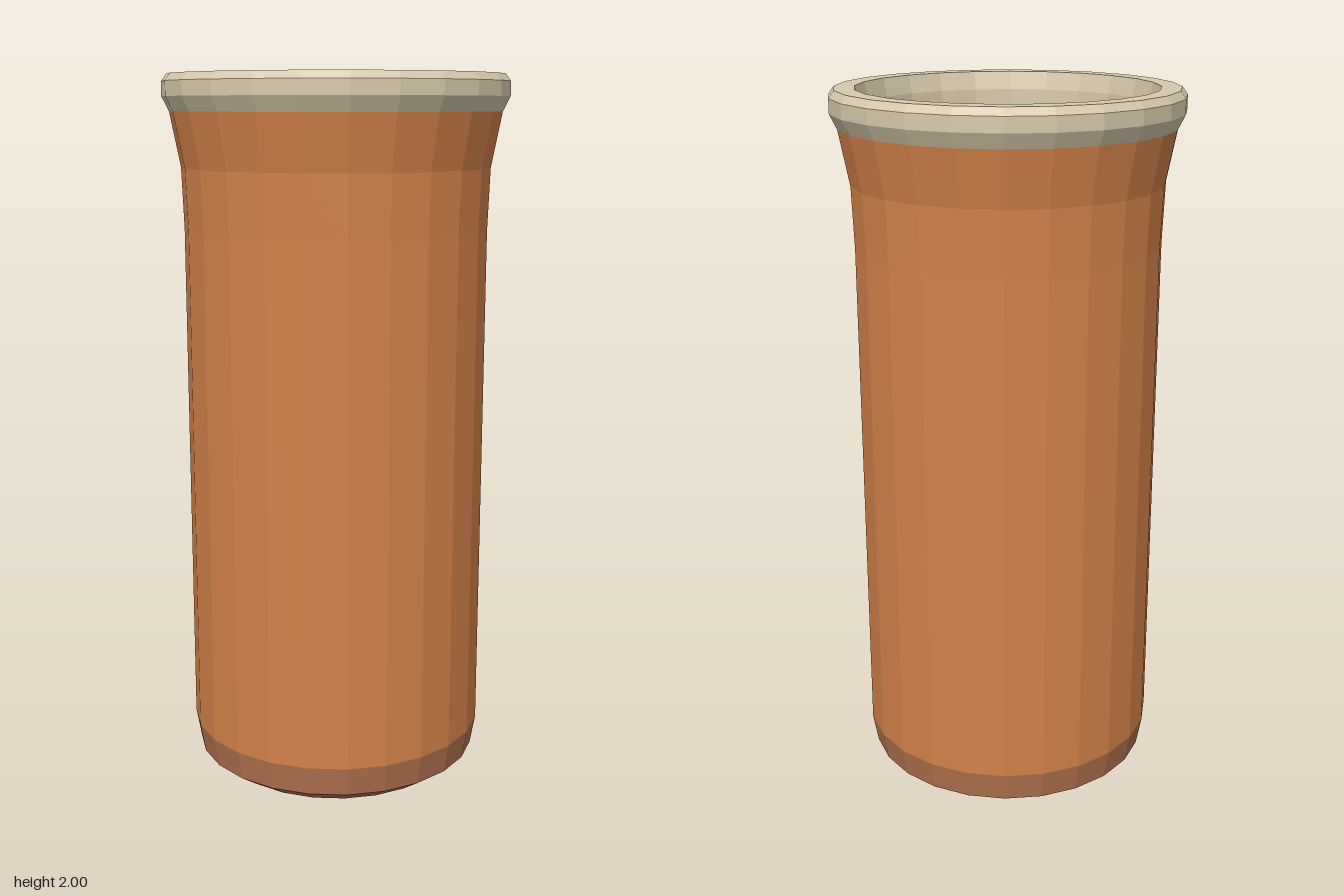
import * as THREE from 'three';

const SIDES = 24;

// Faceted ring of revolution; the profile runs up the outside and down the inside
function turned(name, profile, material) {
  const points = profile.map(([r, y]) => new THREE.Vector2(r, y));
  const geometry = new THREE.LatheGeometry(points, SIDES).toNonIndexed();
  geometry.computeVertexNormals();
  const mesh = new THREE.Mesh(geometry, material);
  mesh.name = name;
  return mesh;
}

function material(name, color) {
  const m = new THREE.MeshStandardMaterial({ color });
  m.name = name;
  return m;
}

export function createModel() {
  const clay = material('orange clay', 0xd4824a);
  const foot = material('brown clay', 0xb47450);
  const glaze = material('beige glaze', 0xd8caac);

  const group = new THREE.Group();
  group.name = 'tallCup';
  group.add(
    // Chamfered foot with closed underside
    turned('base', [[0, 0], [0.345, 0], [0.41, 0.045], [0.425, 0.13]], foot),
    // Straight wall
    turned('body', [[0.425, 0.13], [0.425, 1.58]], clay),
    // Flared neck
    turned('neck', [[0.425, 1.58], [0.431, 1.75], [0.46, 1.9]], clay),
    // Bevelled rim
    turned('rim', [[0.46, 1.9], [0.48, 1.94], [0.48, 1.98], [0.465, 2], [0.41, 2], [0.398, 1.95]], glaze),
    // Tapered inner wall and floor
    turned('interior', [[0.398, 1.95], [0.37, 0.1], [0, 0.1]], glaze),
  );
  return group;
}
